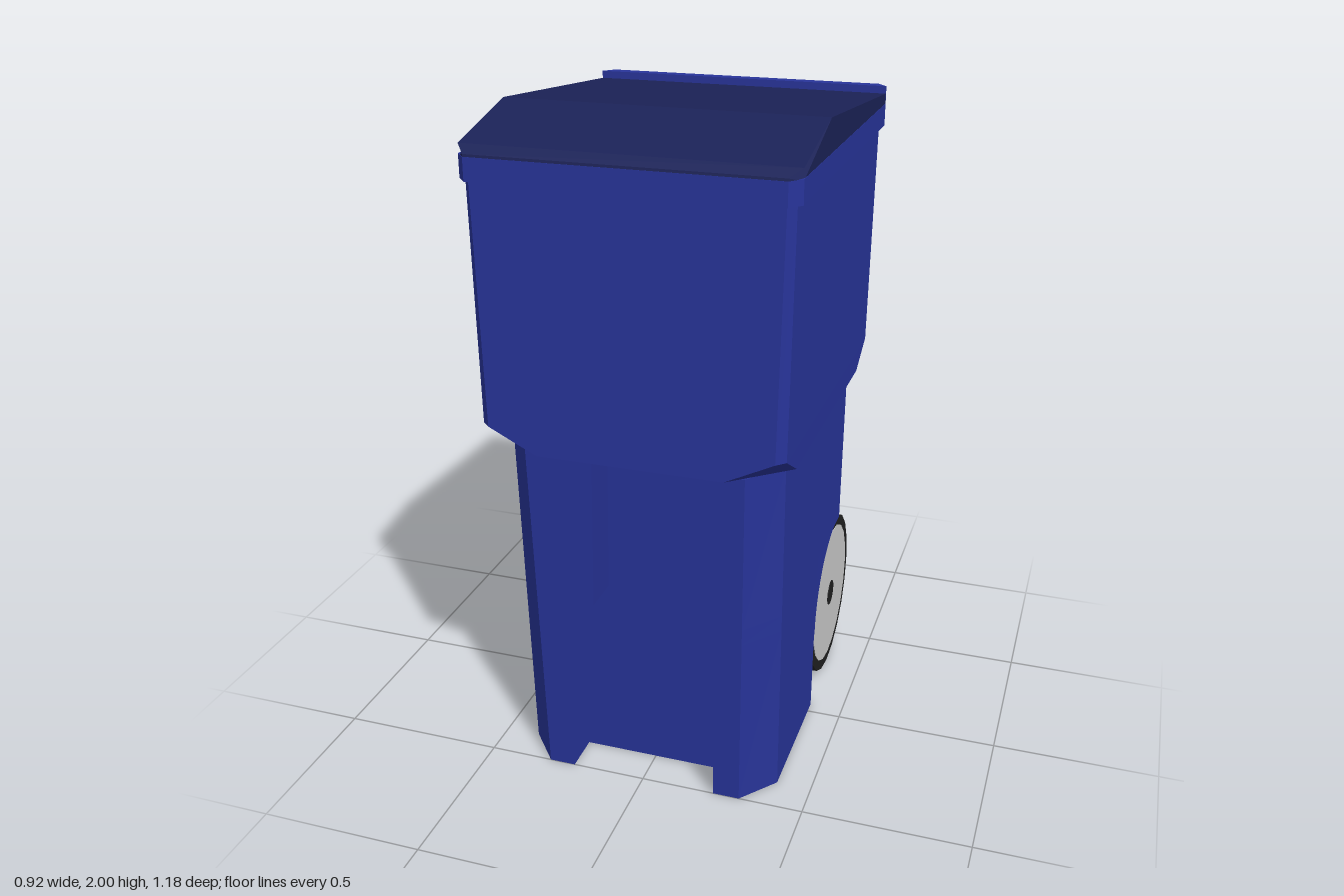
import * as THREE from 'three';

const material = (color) => new THREE.MeshStandardMaterial({ color, flatShading: true });
const blue = material(0x28349a);
const darkBlue = material(0x1b2257);
const black = material(0x202020);
const grey = material(0xcccccc);

function addMesh(parent, name, geometry, mat) {
  const mesh = new THREE.Mesh(geometry, mat);
  mesh.name = name;
  parent.add(mesh);
  return mesh;
}

// Complete a half outline (front to back on +x) with its mirror image
const mirror = (half) => half.concat(half.map(([x, z]) => [-x, z]).reverse());

// Capped solid through horizontal sections { y, half }
function loft(sections) {
  const rings = sections.map(({ y, half }) => mirror(half).map(([x, z]) => new THREE.Vector3(x, y, z)));
  const pos = [];
  const tri = (...pts) => pts.forEach((p) => pos.push(p.x, p.y, p.z));
  for (let k = 0; k < rings.length - 1; k++) {
    const lo = rings[k], hi = rings[k + 1], n = lo.length;
    for (let i = 0; i < n; i++) {
      const j = (i + 1) % n;
      tri(lo[i], lo[j], hi[j]);
      tri(lo[i], hi[j], hi[i]);
    }
  }
  const cap = (ring, up) => {
    const flat = ring.map((p) => new THREE.Vector2(p.x, -p.z));
    for (const [a, b, c] of THREE.ShapeUtils.triangulateShape(flat, [])) {
      if (up) tri(ring[a], ring[b], ring[c]);
      else tri(ring[a], ring[c], ring[b]);
    }
  };
  cap(rings[0], false);
  cap(rings[rings.length - 1], true);
  const g = new THREE.BufferGeometry();
  g.setAttribute('position', new THREE.Float32BufferAttribute(pos, 3));
  g.computeVertexNormals();
  return g;
}

// Rectangle with cut corners; cx and cz are the cut sizes
const octagon = (w, front, back, cx, cz) => [
  [w - cx, front], [w, front - cz], [w, back + cz], [w - cx, back],
];

// Extrude a side profile of [z, y] points or a Shape across x0..x1
function extrudeAcross(shape, x0, x1) {
  const g = new THREE.ExtrudeGeometry(shape, { depth: x1 - x0, bevelEnabled: false, curveSegments: 10 });
  g.rotateY(-Math.PI / 2); // profile x -> z, depth -> -x
  g.translate(x1, 0, 0);
  return g;
}

// Lower body section: front groove, cut front corners, then the given rear points
function bodySection(y, groove, rear) {
  const t = y / 1.08, w = 0.395 + 0.01 * t, front = 0.5 + 0.04 * t;
  return {
    y,
    half: [
      [groove, front - 0.12], [groove, front], [0.305 + 0.015 * t, front], [w, front - 0.11],
      ...rear(w),
    ],
  };
}

export function createModel() {
  const bin = new THREE.Group();
  bin.name = 'wheeledBin';

  // Lower body, narrowed at the rear between the wheels
  const narrowRear = (w) => [[w, -0.04], [0.29, -0.04], [0.29, -0.395]];
  addMesh(bin, 'lowerBody', loft([
    bodySection(0, 0.225, narrowRear),
    bodySection(0.55, 0.225, narrowRear),
  ]), blue);

  // Middle body, full width with cut rear corners
  const wideRear = (w) => [[w, -0.345], [w - 0.09, -0.45]];
  addMesh(bin, 'middleBody', loft([
    bodySection(0.55, 0.225, wideRear),
    bodySection(0.6, 0.135, wideRear),
    bodySection(1.08, 0.12, wideRear),
  ]), blue);

  // Wide upper body, its corners tucked in at the bottom edge
  addMesh(bin, 'upperBody', loft([
    { y: 1.08, half: octagon(0.435, 0.575, -0.483, 0.165, 0.143) },
    { y: 1.15, half: octagon(0.436, 0.575, -0.484, 0.025, 0.025) },
    { y: 1.85, half: octagon(0.445, 0.575, -0.485, 0.02, 0.025) },
  ]), blue);

  // Rim and raised rear ridge
  const rim = octagon(0.46, 0.59, -0.505, 0.03, 0.037);
  addMesh(bin, 'rim', loft([{ y: 1.84, half: rim }, { y: 1.905, half: rim }]), blue);
  const ridge = [[0.46, -0.468], [0.43, -0.505]];
  addMesh(bin, 'rearRidge', loft([{ y: 1.9, half: ridge }, { y: 1.957, half: ridge }]), blue);

  // Peaked lid, narrowed at its front edge to follow the rim corners
  const lidProfile = [[-0.468, 1.9], [0.553, 1.9], [0.59, 1.9], [0.588, 1.912], [0.553, 1.932], [0.27, 2], [-0.468, 1.935]];
  const lid = extrudeAcross(new THREE.Shape(lidProfile.map(([z, y]) => new THREE.Vector2(z, y))), -0.459, 0.459);
  const p = lid.attributes.position;
  for (let i = 0; i < p.count; i++) {
    if (p.getZ(i) > 0.57) p.setX(i, Math.sign(p.getX(i)) * 0.43);
  }
  lid.computeVertexNormals();
  addMesh(bin, 'lid', lid, darkBlue);

  // Wheel arches and wheels on both sides
  const wheelY = 0.27, wheelZ = -0.32;
  const arch = new THREE.Shape();
  arch.moveTo(-0.04, wheelY);
  arch.lineTo(-0.04, 0.55);
  arch.lineTo(wheelZ, 0.55);
  arch.absarc(wheelZ, wheelY, 0.28, Math.PI / 2, 0, true);

  const disc = (r, width) => new THREE.CylinderGeometry(r, r, width, 20).rotateZ(Math.PI / 2);
  for (const [side, s] of [['left', 1], ['right', -1]]) {
    const inner = 0.29 * s, outer = 0.399 * s;
    addMesh(bin, side + 'WheelArch', extrudeAcross(arch, Math.min(inner, outer), Math.max(inner, outer)), blue);
    const wheel = new THREE.Group();
    wheel.name = side + 'Wheel';
    wheel.position.set(0.344 * s, wheelY, wheelZ);
    addMesh(wheel, 'tyre', disc(0.27, 0.08), black);
    addMesh(wheel, 'wheelDisc', disc(0.235, 0.084), grey);
    addMesh(wheel, 'hub', disc(0.042, 0.088), black);
    bin.add(wheel);
  }

  // Axle through the body
  addMesh(bin, 'axle', disc(0.03, 0.66), black).position.set(0, wheelY, wheelZ);
  return bin;
}
